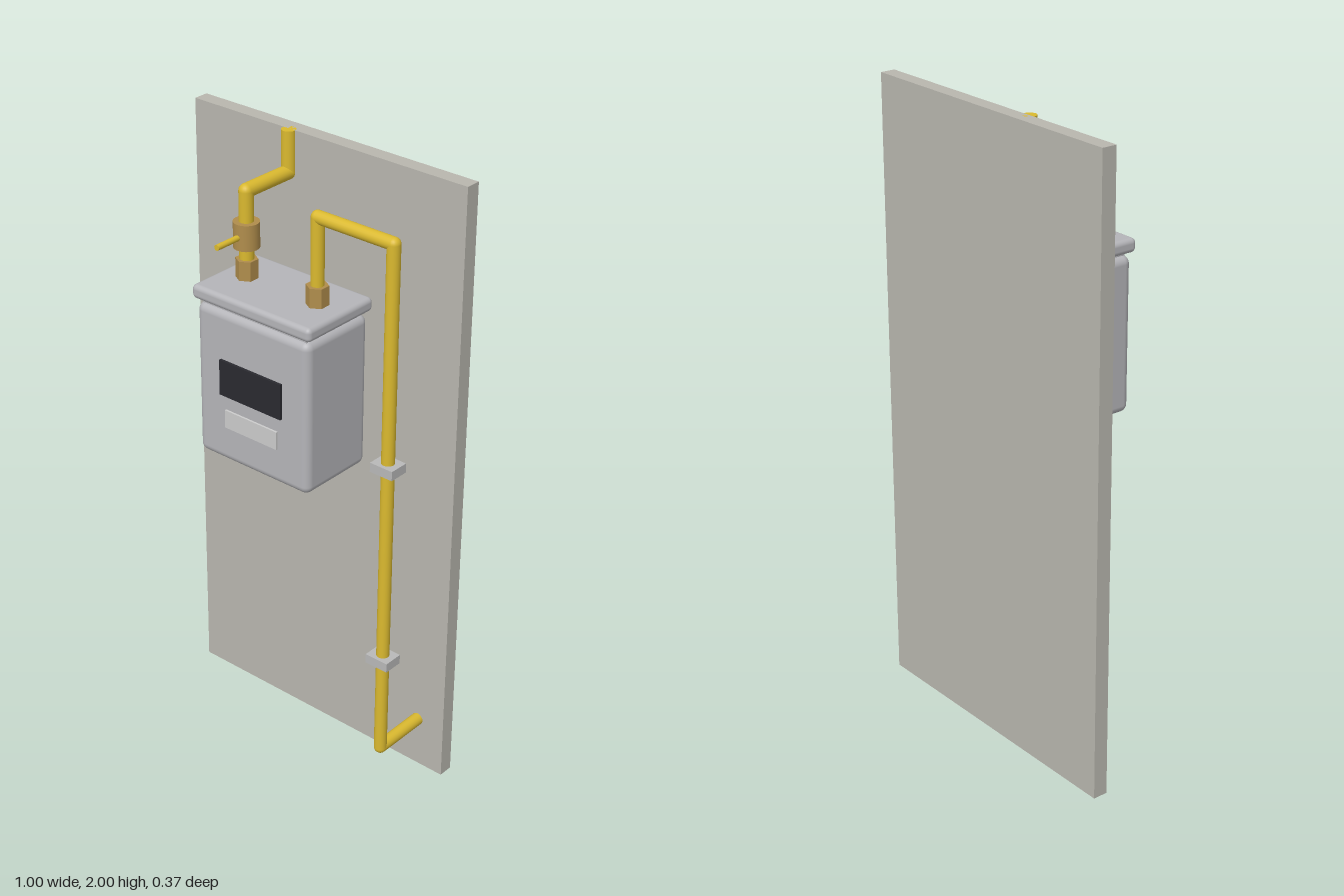
import * as THREE from 'three';
import { RoundedBoxGeometry } from 'three/addons/geometries/RoundedBoxGeometry.js';

const mat = (color, flatShading = false) => new THREE.MeshStandardMaterial({ color, flatShading });
const PANEL = mat(0xb8b6ae), CASE = mat(0xb4b4b8), PIPE = mat(0xdab92f);
const BRASS = mat(0xb08d4c), HEX = mat(0xb08d4c, true), CLIP = mat(0xb8b8b8);
const SCREEN = mat(0x2a2a30), LABEL = mat(0xd8d8d4);

export function createModel() {
  const model = new THREE.Group();
  model.name = 'wallMountedMeter';

  const add = (name, geometry, material, x, y, z, parent = model) => {
    const mesh = new THREE.Mesh(geometry, material);
    mesh.name = name;
    mesh.position.set(x, y, z);
    parent.add(mesh);
    return mesh;
  };
  const box = (name, w, h, d, material, x, y, z) =>
    add(name, new THREE.BoxGeometry(w, h, d), material, x, y, z);

  // Straight pipe runs joined by tight round elbows
  const pipe = (name, radius, coords) => {
    const group = new THREE.Group();
    group.name = name;
    model.add(group);
    const pts = coords.map((c) => new THREE.Vector3(...c));
    for (let i = 1; i < pts.length; i++) {
      const dir = pts[i].clone().sub(pts[i - 1]);
      const mid = pts[i].clone().add(pts[i - 1]).multiplyScalar(0.5);
      const run = add('pipeRun', new THREE.CylinderGeometry(radius, radius, dir.length(), 20),
        PIPE, mid.x, mid.y, mid.z, group);
      run.quaternion.setFromUnitVectors(new THREE.Vector3(0, 1, 0), dir.normalize());
      if (i < pts.length - 1) {
        add('elbow', new THREE.SphereGeometry(radius, 20, 14), PIPE, pts[i].x, pts[i].y, pts[i].z, group);
      }
    }
  };

  const z = 0.045;      // pipe plane in front of the wall
  const inX = -0.133, outX = 0.133, downX = 0.4;

  // Wall panel
  box('wallPanel', 1, 2, 0.048, PANEL, 0, 1, -0.164);

  // Meter case, neck and lid
  add('meterBody', new RoundedBoxGeometry(0.425, 0.49, 0.265, 4, 0.025), CASE, 0, 1.303, z);
  box('meterNeck', 0.39, 0.06, 0.235, CASE, 0, 1.55, z);
  add('meterLid', new RoundedBoxGeometry(0.446, 0.044, 0.28, 4, 0.015), CASE, 0, 1.58, z);
  box('displayScreen', 0.234, 0.114, 0.014, SCREEN, 0, 1.338, 0.179);
  box('nameplate', 0.2, 0.058, 0.012, LABEL, 0, 1.205, 0.178);

  // Hexagonal unions on the lid
  for (const x of [inX, outX]) {
    add('unionNut', new THREE.CylinderGeometry(0.034, 0.034, 0.062, 6), HEX, x, 1.631, z);
  }

  // Shut-off valve with its lever pointing forward
  add('valveBody', new THREE.CylinderGeometry(0.039, 0.039, 0.08, 28), BRASS, inX, 1.738, z);
  add('valveLever', new THREE.CylinderGeometry(0.009, 0.009, 0.11, 14), PIPE, inX, 1.737, 0.115)
    .rotation.x = Math.PI / 2;

  // Supply pipe steps back to the wall, outlet pipe runs down the side
  pipe('inletPipe', 0.022, [[inX, 1.62, z], [inX, 1.87, z], [inX, 1.87, -0.137], [inX, 2, -0.137]]);
  pipe('outletPipe', 0.02, [[outX, 1.62, z], [outX, 1.868, z], [downX, 1.868, z],
    [downX, 0.172, z], [downX, 0.172, -0.15]]);

  // Pipe clips
  for (const y of [1.173, 0.505]) box('pipeClip', 0.08, 0.03, 0.064, CLIP, downX, y, z);

  return model;
}
